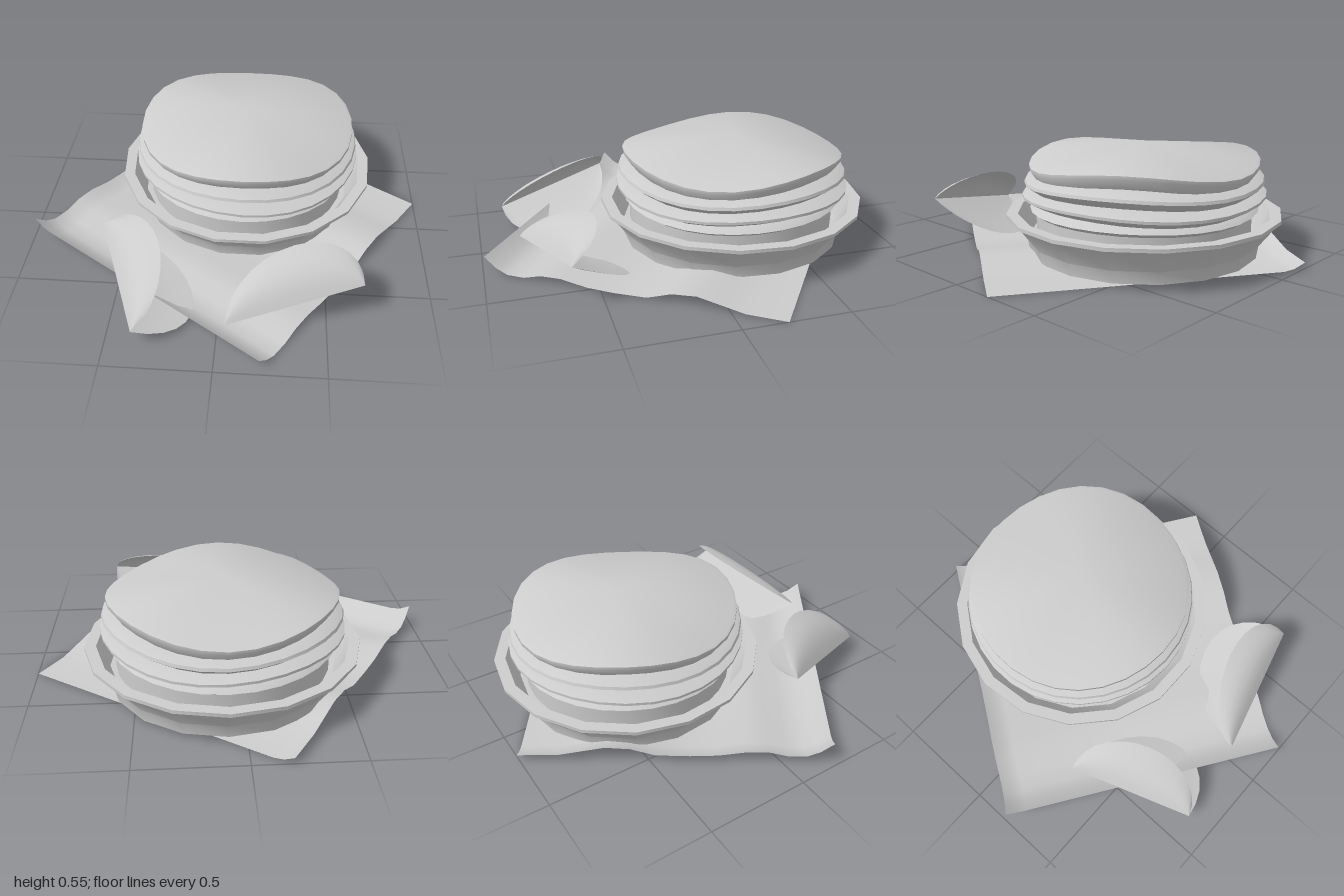
import * as THREE from 'three';
import { toCreasedNormals } from 'three/addons/utils/BufferGeometryUtils.js';

const grey = new THREE.MeshStandardMaterial({ color: 0xcccccc, side: THREE.DoubleSide });
grey.name = 'light grey';

const CENTRE = [0.08, -0.27]; // x, z of the plate and the stack

function mesh(geometry, name, crease = 0.6) {
  const m = new THREE.Mesh(toCreasedNormals(geometry, crease), grey);
  m.name = name;
  return m;
}

// Smooth grid surface from a function (u, v) -> Vector3
function grid(us, vs, fn) {
  const pos = [], index = [], n = vs.length;
  for (const u of us) for (const v of vs) pos.push(...fn(u, v).toArray());
  for (let i = 0; i < us.length - 1; i++) {
    for (let j = 0; j < n - 1; j++) {
      const a = i * n + j, b = a + n;
      index.push(a, b, a + 1, b, b + 1, a + 1);
    }
  }
  const g = new THREE.BufferGeometry();
  g.setAttribute('position', new THREE.Float32BufferAttribute(pos, 3));
  g.setIndex(index);
  g.computeVertexNormals();
  return g;
}

const steps = (n) => Array.from({ length: n + 1 }, (_, i) => i / n);

function lathe(points, segments) {
  return new THREE.LatheGeometry(points.map(([r, y]) => new THREE.Vector2(r, y)), segments);
}

// Rippled square cloth: ridges run along u, one side is curled up
function cloth() {
  const wave = [[0, 0.08], [0.04, 0.03], [0.08, 0.003], [0.14, 0.002], [0.2, 0.025], [0.27, 0.027], [0.36, 0.005],
    [0.45, 0], [0.56, 0.004], [0.64, 0.042], [0.72, 0.05], [0.79, 0.028], [0.87, 0.003], [1, 0]];
  const heights = new Map(wave);
  const g = grid([0, 0.035, 0.07, 0.5, 1], wave.map((p) => p[0]), (u, v) => {
    const curl = u === 0 ? 0.037 : u < 0.05 ? 0.01 : 0;
    return new THREE.Vector3(-0.98 + 1.18 * u + 0.8 * v, heights.get(v) + curl, 0.19 + 0.8 * u - 1.2 * v);
  });
  return mesh(g, 'cloth', 1);
}

// Faceted dish with a narrow lip
function dish() {
  const g = lathe([[0, 0.02], [0.555, 0.02], [0.565, 0.08], [0.65, 0.19], [0.665, 0.195],
    [0.665, 0.212], [0.61, 0.212], [0.55, 0.1], [0, 0.08]], 17);
  const m = mesh(g, 'dish', 0.5);
  m.rotation.y = Math.PI;
  m.position.set(CENTRE[0], 0, CENTRE[1]);
  return m;
}

// One flat round bread with a wavy edge
function bread(profile, wobble, phase, i) {
  const g = lathe(profile, 30);
  const p = g.attributes.position;
  for (let k = 0; k < p.count; k++) {
    const x = p.getX(k), z = p.getZ(k);
    const reach = Math.min(1, Math.hypot(x, z) / 0.55);
    p.setY(k, p.getY(k) + wobble * reach * Math.cos(3 * Math.atan2(x, z) + phase));
  }
  const m = mesh(g, 'flatBread' + i, 0.7);
  m.position.set(CENTRE[0], 0, CENTRE[1]);
  return m;
}

// One half-round flap, hinged on the fold from p to q and reaching out by a
function flap(p, q, a, bulge, name) {
  const P = new THREE.Vector3(...p), Q = new THREE.Vector3(...q), A = new THREE.Vector3(...a);
  const normal = Q.clone().sub(P).cross(A).normalize();
  const g = grid(steps(14), steps(6), (t, s) => {
    const w = Math.sin(Math.PI * t);
    return P.clone().lerp(Q, 0.5 - 0.5 * Math.cos(Math.PI * t))
      .addScaledVector(A, w * s)
      .addScaledVector(normal, bulge * w * Math.sin(Math.PI * s));
  });
  return mesh(g, name, 1);
}

function foldedBread(name, p, q, upper, lower) {
  const group = new THREE.Group();
  group.name = name;
  group.add(flap(p, q, upper, 0.035, 'upperFlap'), flap(p, q, lower, -0.01, 'lowerFlap'));
  return group;
}

export function createModel() {
  const model = new THREE.Group();
  model.name = 'breadOnDish';
  model.add(cloth(), dish());

  // Stack of breads, bottom to top
  const stack = new THREE.Group();
  stack.name = 'breadStack';
  stack.add(
    bread([[0, 0.1], [0.52, 0.1], [0.52, 0.215], [0.55, 0.235], [0.52, 0.26], [0, 0.27]], 0.004, 0.5, 1),
    bread([[0, 0.25], [0.52, 0.26], [0.585, 0.295], [0.585, 0.308], [0.525, 0.33], [0, 0.34]], 0.01, 1.2, 2),
    bread([[0, 0.32], [0.525, 0.33], [0.575, 0.368], [0.57, 0.382], [0.52, 0.405], [0, 0.42]], 0.012, 0.4, 3),
    bread([[0, 0.39], [0.52, 0.4], [0.55, 0.445], [0.55, 0.462], [0.535, 0.469], [0, 0.545]], 0.025, 0, 4),
  );
  model.add(stack);

  // Two folded breads in front
  model.add(
    foldedBread('foldedBreadRight', [-0.6, 0.19, 0.29], [-0.375, 0.08, 0.87], [0.2, 0.175, -0.06], [0.35, -0.11, -0.03]),
    foldedBread('foldedBreadLeft', [0.04, 0.09, 0.81], [0.66, 0.21, 0.64], [-0.01, 0.17, -0.21], [0.03, -0.13, -0.36]),
  );
  return model;
}
